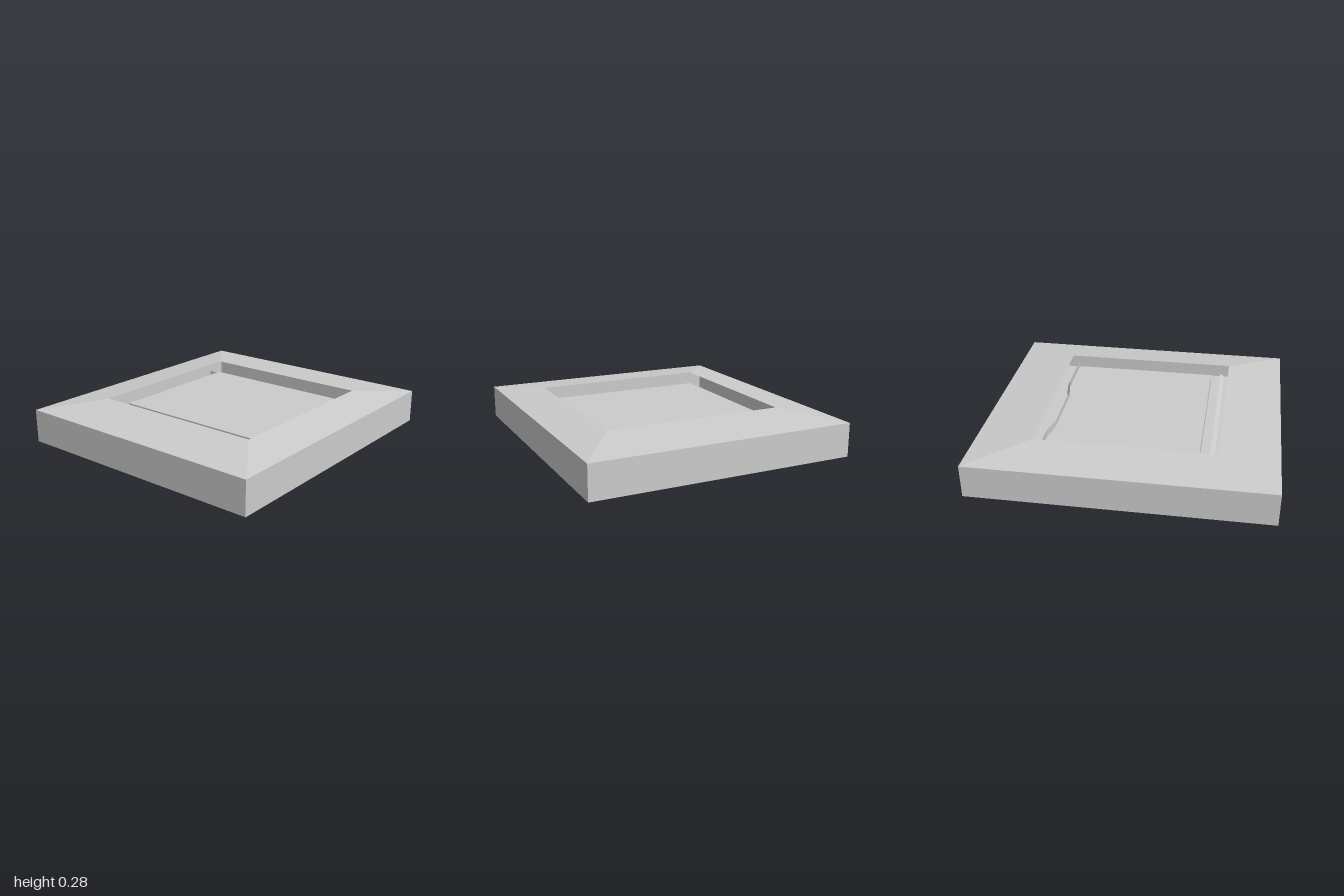
import * as THREE from 'three';

const material = new THREE.MeshStandardMaterial({
  color: 0xcccccc, flatShading: true, side: THREE.DoubleSide,
});

// Skin a list of closed cross-sections, each a loop of [x, y, z] points
function loft(rings) {
  const n = rings[0].length;
  const index = [];
  for (let r = 0; r < rings.length - 1; r++) {
    for (let i = 0; i < n; i++) {
      const j = (i + 1) % n;
      const a = r * n + i, b = r * n + j;
      index.push(a, b, b + n, a, b + n, a + n);
    }
  }
  const geometry = new THREE.BufferGeometry();
  geometry.setAttribute('position', new THREE.Float32BufferAttribute(rings.flat(2), 3));
  geometry.setIndex(index);
  const flat = geometry.toNonIndexed();
  flat.computeVertexNormals();
  return flat;
}

// Horizontal rectangle, counter-clockwise seen from above
const rect = (y, x0, x1, z0, z1) => [[x1, y, z1], [x1, y, z0], [x0, y, z0], [x0, y, z1]];

// Block between two rectangles given as [y, x0, x1, z0, z1]
function block(bottom, top) {
  const geometry = new THREE.BoxGeometry(1, 1, 1);
  const p = geometry.attributes.position;
  for (let i = 0; i < p.count; i++) {
    const [y, x0, x1, z0, z1] = p.getY(i) > 0 ? top : bottom;
    p.setXYZ(i, p.getX(i) > 0 ? x1 : x0, y, p.getZ(i) > 0 ? z1 : z0);
  }
  geometry.computeVertexNormals();
  return geometry;
}

// Low rib along a path of [x, z], sloping outward by `slope` to its foot
function rib(path, foot, top, slope) {
  return loft(path.map(([x, z]) => {
    const section = [[x, foot, z], [x, top, z], [x + slope, foot, z]];
    return slope > 0 ? section : section.reverse();
  }));
}

export function createModel() {
  const group = new THREE.Group();
  const add = (name, geometry) => {
    const mesh = new THREE.Mesh(geometry, material);
    mesh.name = name;
    group.add(mesh);
  };

  // Thin open-bottomed frame: upright walls and a gently rising bevelled top
  add('frame', loft([
    rect(0, -1, 1, -0.91, 0.91),
    rect(0.23, -1, 1, -0.91, 0.91),
    rect(0.275, -0.61, 0.605, -0.6, 0.63),
  ]));

  // Base slab under the opening
  const slabTop = 0.135;
  add('baseSlab', block([0.01, -0.68, 0.73, -0.68, 0.72], [slabTop, -0.68, 0.73, -0.68, 0.72]));

  // Raised centre panel with slightly sloping sides
  add('centrePanel', block([slabTop, -0.48, 0.53, -0.555, 0.58], [0.22, -0.48, 0.515, -0.535, 0.565]));

  // Straight rib on one side, stepped rib on the other
  add('straightRib', rib([[-0.545, -0.68], [-0.545, 0.72]], slabTop, 0.155, -0.03));
  add('steppedRib', rib([
    [0.58, -0.68], [0.58, -0.34], [0.547, -0.2],
    [0.547, 0.21], [0.58, 0.37], [0.58, 0.72],
  ], slabTop, 0.185, 0.018));

  return group;
}
